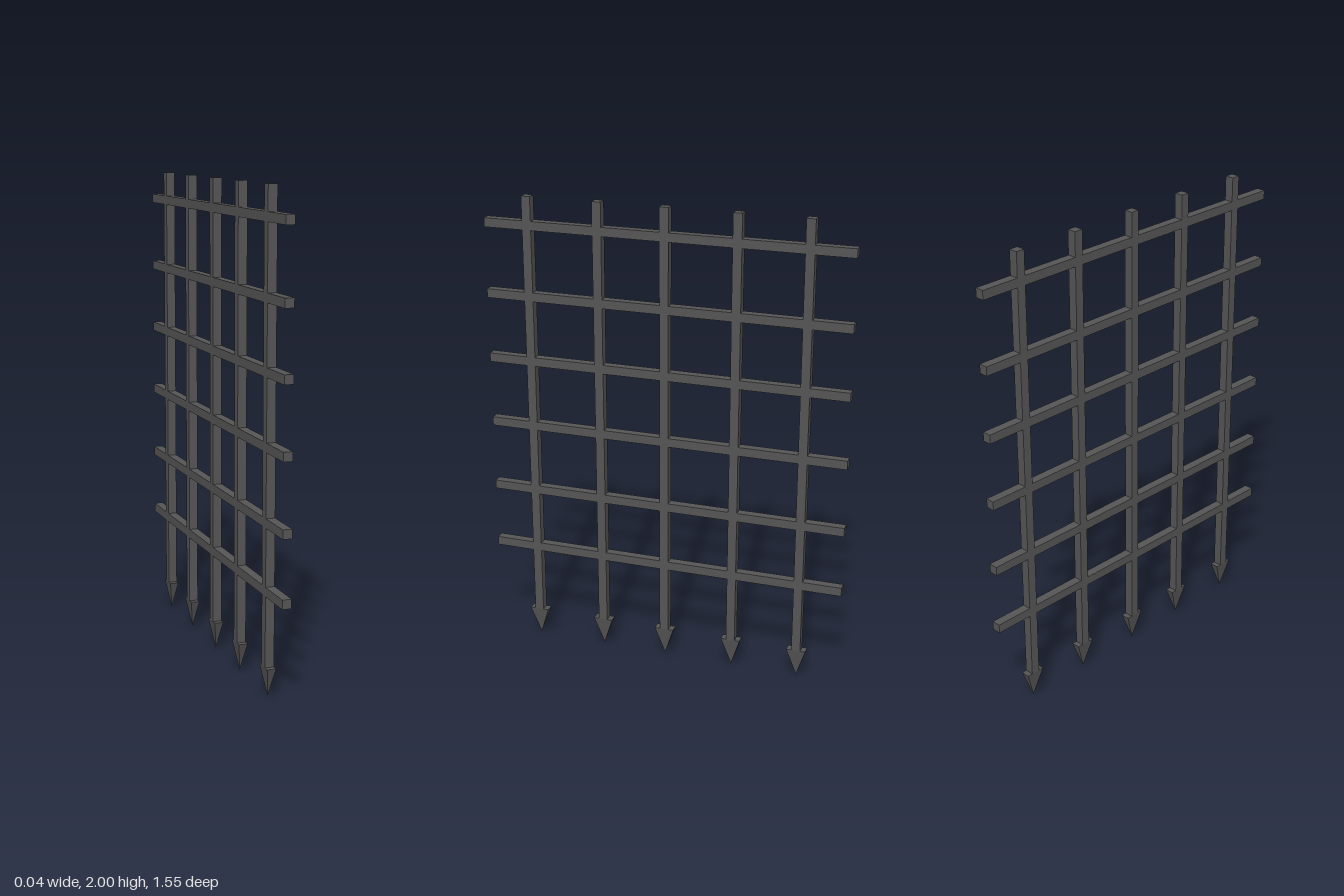
import * as THREE from 'three';

const T = 0.038; // bar thickness
const HEAD_TOP = 0.125;
const uprightZ = [0.59, 0.285, 0, -0.302, -0.593];
const railY = [0.435, 0.709, 1.006, 1.296, 1.578, 1.879];

export function createModel() {
  const model = new THREE.Group();
  model.name = 'portcullis';
  const iron = new THREE.MeshStandardMaterial({ color: 0x555555, flatShading: true });

  const add = (name, geometry, y, z) => {
    const mesh = new THREE.Mesh(geometry, iron);
    mesh.name = name;
    mesh.position.set(0, y, z);
    model.add(mesh);
  };

  // Four-sided spear head pointing down, as thick as the bar but wider along z
  const spearHead = new THREE.ConeGeometry(Math.SQRT1_2, HEAD_TOP, 4);
  spearHead.rotateY(Math.PI / 4).rotateX(Math.PI).scale(T, 1, 0.084);

  const upright = new THREE.BoxGeometry(T, 2 - HEAD_TOP, T);
  const rail = new THREE.BoxGeometry(T, T, 1.555);

  // Vertical bars with their spear heads
  uprightZ.forEach((z, i) => {
    add(`upright${i + 1}`, upright, (2 + HEAD_TOP) / 2, z);
    add(`spearHead${i + 1}`, spearHead, HEAD_TOP / 2, z);
  });

  // Horizontal bars, flush with the uprights
  railY.forEach((y, i) => add(`rail${i + 1}`, rail, y, 0));

  return model;
}
